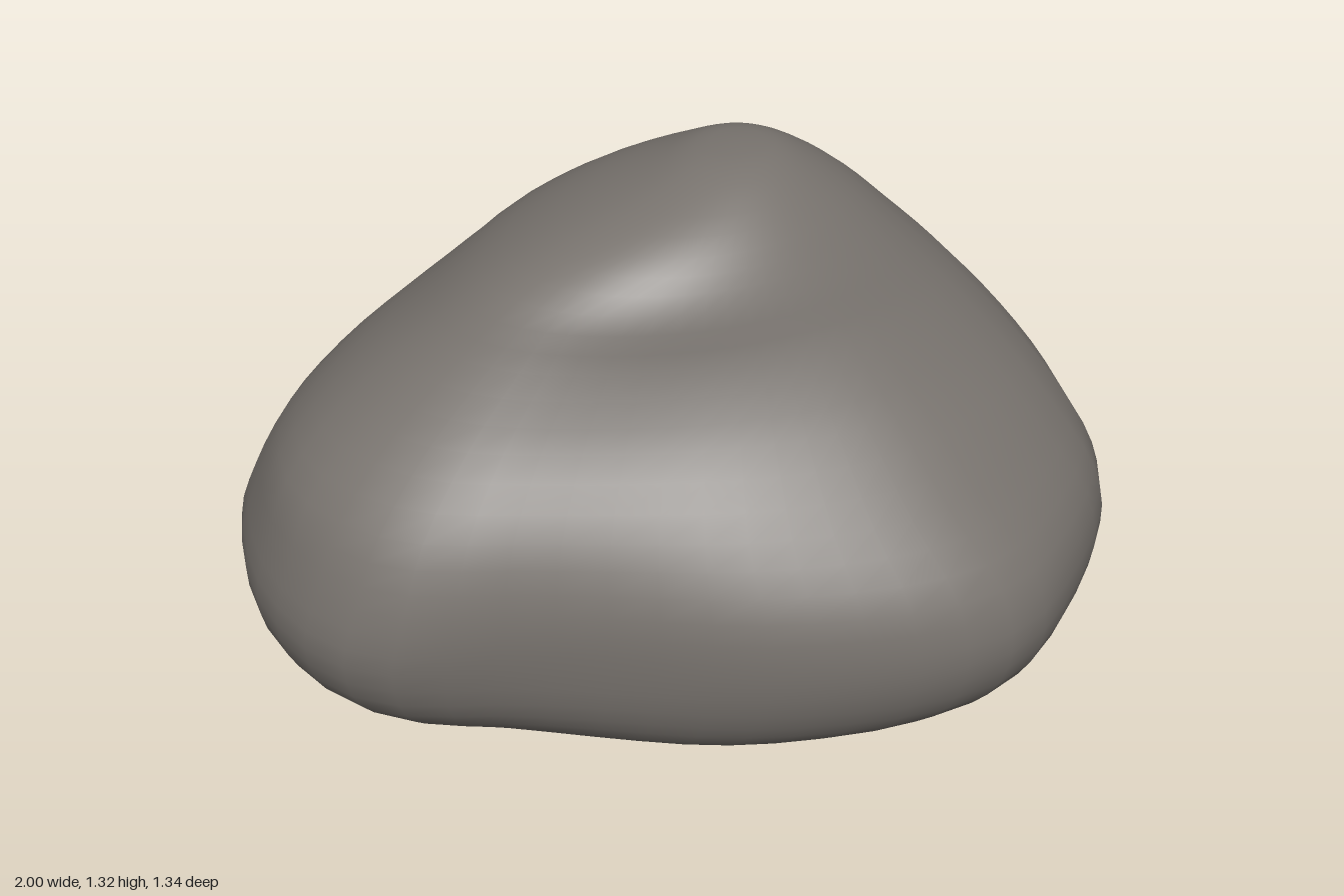
import * as THREE from 'three';

// Widest outline seen from above, as [x, z]
const PLAN = [
  [1, -0.2], [0.95, 0.06], [0.86, 0.28], [0.73, 0.39], [0.55, 0.47], [0.3, 0.54], [0, 0.57], [-0.2, 0.6],
  [-0.47, 0.665], [-0.62, 0.635], [-0.8, 0.5], [-0.93, 0.3], [-1, 0.08], [-0.95, -0.1], [-0.8, -0.35],
  [-0.6, -0.49], [-0.43, -0.56], [-0.1, -0.615], [0.18, -0.67], [0.6, -0.61], [0.88, -0.48], [0.98, -0.34],
];
const HALF_DEPTH = 0.668;

// Horizontal sections: y, x min, x max, z min, z max,
// blend from outline to slanted oval, slant in degrees, slant at the back left
const LEVELS = [
  [0.04, -0.46, 0.25, -0.36, 0.18, 0.7, 84, 100],
  [0.09, -0.76, 0.62, -0.54, 0.4, 0.6, 86, 102],
  [0.14, -0.9, 0.8, -0.61, 0.53, 0.4, 89, 103],
  [0.25, -0.98, 0.95, -0.65, 0.625, 0.15, 95, 103],
  [0.4, -1, 1, -0.67, 0.668, 0, 105, 105],
  [0.55, -0.945, 0.97, -0.657, 0.655, 0.12, 112, 106],
  [0.7, -0.86, 0.87, -0.635, 0.59, 0.4, 117, 106],
  [0.85, -0.72, 0.74, -0.585, 0.46, 0.7, 116, 103],
  [1.0, -0.54, 0.6, -0.51, 0.37, 0.9, 115, 97],
  [1.12, -0.39, 0.48, -0.44, 0.315, 1, 112, 90],
  [1.21, -0.23, 0.38, -0.385, 0.22, 1, 108, 90],
  [1.28, -0.05, 0.28, -0.31, 0.07, 1, 100, 90],
  [1.312, 0.04, 0.21, -0.245, -0.04, 1, 95, 90],
];
const BOTTOM = new THREE.Vector3(0.02, 0, -0.19);
const TOP = new THREE.Vector3(0.13, 1.32, -0.15);
const COLS = 48, ROWS = 42;

// Point of one section in the direction of an outline point
function sectionPoint(p, [y, x0, x1, z0, z1, blend, slant, backSlant]) {
  const px = p.x, pz = p.z / HALF_DEPTH;
  const a = Math.atan2(pz, px);
  const backLeft = Math.max(0, -Math.cos(a - Math.PI / 4));
  const phi = THREE.MathUtils.degToRad(THREE.MathUtils.lerp(slant, backSlant, backLeft));
  const oval = Math.sin(phi) / Math.sqrt(1 - Math.cos(phi) * Math.sin(2 * a));
  const r = THREE.MathUtils.lerp(Math.hypot(px, pz), oval, blend);
  return new THREE.Vector3(
    (x0 + x1) / 2 + r * Math.cos(a) * (x1 - x0) / 2,
    y,
    (z0 + z1) / 2 + r * Math.sin(a) * (z1 - z0) / 2,
  );
}

function boulderGeometry() {
  const outline = new THREE.CatmullRomCurve3(PLAN.map(([x, z]) => new THREE.Vector3(x, 0, z)), true);
  const positions = [...BOTTOM.toArray()], index = [];

  // One smooth rib from bottom to top for each direction
  for (let c = 0; c < COLS; c++) {
    const p = outline.getPointAt(c / COLS);
    const rib = new THREE.CatmullRomCurve3([BOTTOM, ...LEVELS.map((l) => sectionPoint(p, l)), TOP]);
    for (let r = 1; r < ROWS; r++) positions.push(...rib.getPoint(r / ROWS).toArray());
  }
  positions.push(...TOP.toArray());
  const last = positions.length / 3 - 1;

  // Skin between neighbouring ribs, closed at both ends
  const at = (c, r) => (r === 0 ? 0 : r === ROWS ? last : 1 + (c % COLS) * (ROWS - 1) + r - 1);
  for (let c = 0; c < COLS; c++) {
    for (let r = 0; r < ROWS; r++) {
      if (r > 0) index.push(at(c, r), at(c, r + 1), at(c + 1, r));
      if (r < ROWS - 1) index.push(at(c, r + 1), at(c + 1, r + 1), at(c + 1, r));
    }
  }
  const geometry = new THREE.BufferGeometry();
  geometry.setAttribute('position', new THREE.Float32BufferAttribute(positions, 3));
  geometry.setIndex(index);
  geometry.computeVertexNormals();
  return geometry;
}

export function createModel() {
  const stone = new THREE.MeshStandardMaterial({ color: 0x78736e });
  stone.name = 'stone grey';
  const boulder = new THREE.Mesh(boulderGeometry(), stone);
  boulder.name = 'boulder';
  const group = new THREE.Group();
  group.name = 'rock';
  group.add(boulder);
  return group;
}
